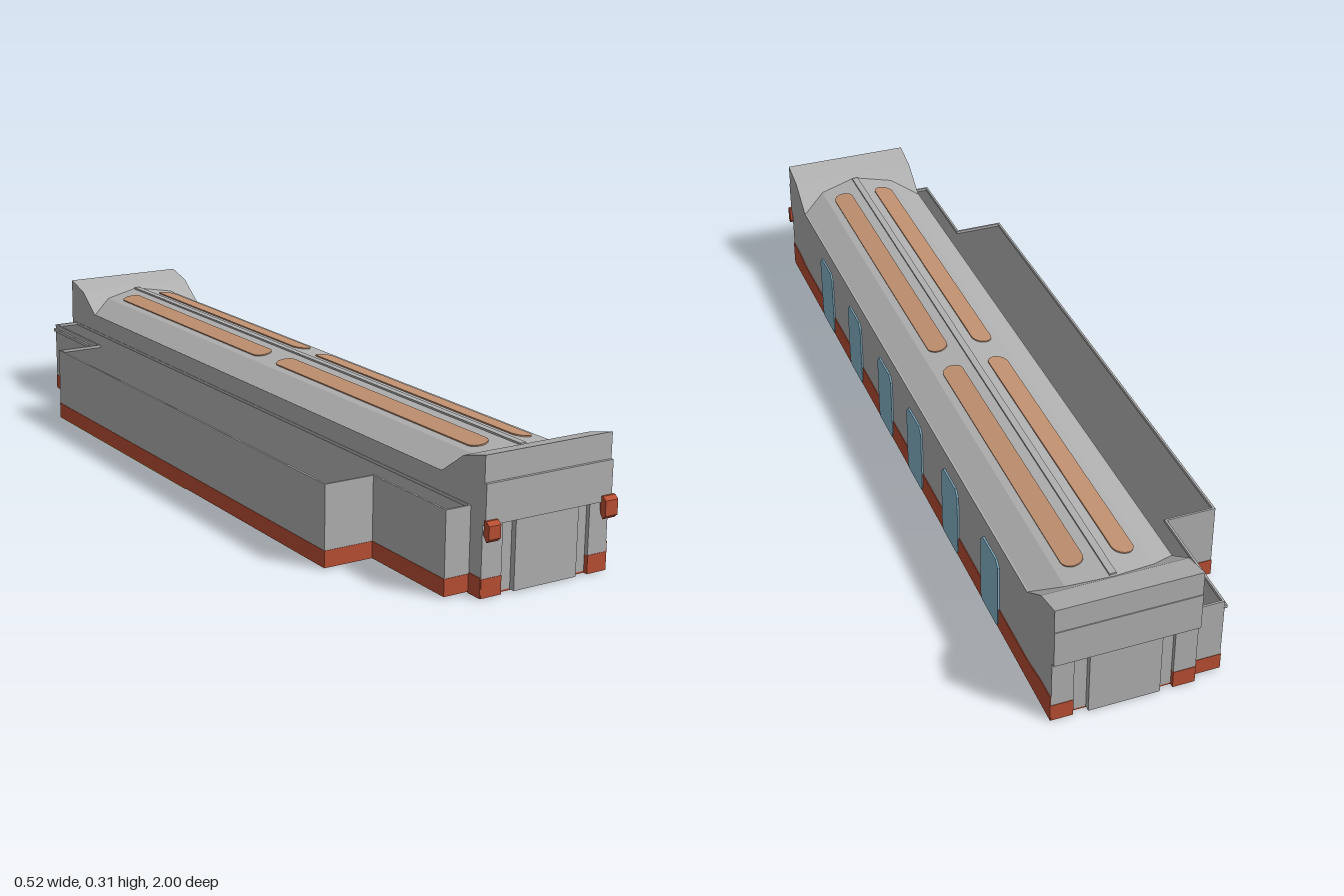
import * as THREE from 'three';

const mat = (name, color) => {
  const m = new THREE.MeshStandardMaterial({ color });
  m.name = name;
  return m;
};

export function createModel() {
  const grey = mat('wall grey', 0xb0b0b0);
  const dark = mat('flat roof grey', 0x666666);
  const red = mat('brick red', 0xb84e33);
  const glass = mat('window blue', 0x85b5cb);
  const tan = mat('skylight tan', 0xc09070);
  const ochre = mat('ochre', 0xc8860a);
  const black = mat('gate dark', 0x3c3c3c);

  const model = new THREE.Group();
  model.name = 'hall';
  const add = (name, geo, m) => {
    const mesh = new THREE.Mesh(geo, m);
    mesh.name = name;
    model.add(mesh);
    return mesh;
  };
  // box given by its limits
  const box = (name, m, x0, x1, y0, y1, z0, z1) => {
    const g = new THREE.BoxGeometry(x1 - x0, y1 - y0, z1 - z0);
    g.translate((x0 + x1) / 2, (y0 + y1) / 2, (z0 + z1) / 2);
    return add(name, g, m);
  };
  const shapeOf = (pts) => new THREE.Shape(pts.map(([a, b]) => new THREE.Vector2(a, b)));
  const extrude = (shape, depth) =>
    new THREE.ExtrudeGeometry(shape, { depth, bevelEnabled: false, curveSegments: 8 });
  // (z, y) outline swept from x0 to x1
  const alongX = (name, m, pts, x0, x1) => {
    const g = extrude(shapeOf(pts), x1 - x0);
    g.rotateY(-Math.PI / 2).translate(x1, 0, 0);
    return add(name, g, m);
  };
  // (x, z) plan raised from y0 to y1, with an optional hole
  const raise = (name, m, pts, y0, y1, hole) => {
    const flip = (p) => p.map(([x, z]) => [x, -z]);
    const s = shapeOf(flip(pts));
    if (hole) s.holes.push(shapeOf(flip(hole)));
    const g = extrude(s, y1 - y0);
    g.rotateX(-Math.PI / 2).translate(0, y0, 0);
    return add(name, g, m);
  };

  const L = -0.075, R = 0.255, mid = 0.09;

  // hall body with the flared end parapets
  alongX('hallBody', grey, [
    [0.965, 0.004], [0.965, 0.16], [0.985, 0.16], [0.985, 0.25], [0.978, 0.25], [0.978, 0.309],
    [0.905, 0.29], [0.83, 0.237], [-0.85, 0.237], [-0.925, 0.29], [-0.998, 0.309],
    [-0.998, 0.25], [-1, 0.25], [-1, 0.16], [-0.98, 0.16], [-0.98, 0.004],
  ], L, R);
  box('hallFloor', red, L, R, 0, 0.004, -0.98, 0.965);

  // main roof, flatter near the ridge and steeper at the eaves
  const roof = extrude(shapeOf([
    [L, 0.235], [R, 0.235], [0.19, 0.268], [mid, 0.284], [-0.01, 0.268],
  ]), 1.84);
  roof.translate(0, 0, -0.93);
  add('mainRoof', roof, grey);
  box('ridgeStrip', grey, 0.082, 0.098, 0.278, 0.287, -0.91, 0.89);

  // long rounded skylights on both slopes
  const tilt = Math.atan2(0.016, 0.1);
  for (const side of [-1, 1]) {
    for (const [z0, z1] of [[-0.85, -0.07], [0.0, 0.83]]) {
      const r = 0.025, h = (z1 - z0) / 2 - r;
      const s = new THREE.Shape();
      s.absarc(0, h, r, 0, Math.PI, false);
      s.absarc(0, -h, r, Math.PI, 2 * Math.PI, false);
      const g = extrude(s, 0.004);
      g.rotateX(-Math.PI / 2);
      const m = add('skylight', g, tan);
      m.rotation.z = -side * tilt;
      m.position.set(mid + side * 0.057, 0.284 - 0.057 * 0.16 - 0.001, (z0 + z1) / 2);
    }
  }

  // end walls: corner piers with red feet, and a central door bay
  for (const [s, base] of [[1, 0.965], [-1, 0.98]]) {
    const slab = (name, m, x0, x1, y0, y1, out) => {
      const a = s * base, b = s * (base + out);
      box(name, m, x0, x1, y0, y1, Math.min(a, b), Math.max(a, b));
    };
    for (const [x0, x1] of [[L, -0.023], [0.205, R]]) {
      slab('cornerPier', grey, x0, x1, 0.042, 0.16, 0.01);
      slab('cornerPierFoot', red, x0, x1, 0, 0.042, 0.011);
    }
    slab('doorBay', grey, 0.008, 0.172, 0.002, 0.16, 0.014);
  }

  // red plinth along the window side, a little taller at the ends
  alongX('windowSidePlinth', red, [
    [-0.99, 0], [0.975, 0], [0.975, 0.065], [0.91, 0.064], [0.85, 0.055],
    [-0.86, 0.055], [-0.93, 0.064], [-0.99, 0.065],
  ], R - 0.002, R + 0.002);
  box('cornerPlinth', red, L - 0.002, L + 0.002, 0, 0.045, 0.935, 0.975);

  // tall windows with clipped corners
  for (const z of [0.62, 0.365, 0.11, -0.12, -0.375, -0.635]) {
    const w = 0.054;
    alongX('window', glass, [
      [z - w + 0.008, 0.003], [z + w - 0.008, 0.003], [z + w, 0.015], [z + w, 0.172],
      [z + w - 0.014, 0.188], [z - w + 0.014, 0.188], [z - w, 0.172], [z - w, 0.015],
    ], R - 0.002, R + 0.004);
  }

  // red lamps on the front corners
  for (const [x0, x1, y0, y1] of [[-0.077, -0.047, 0.127, 0.172], [0.227, 0.26, 0.124, 0.174]]) {
    alongX('cornerLamp', red, [
      [0.982, y0 + 0.012], [0.992, y0], [1, y0 + 0.008], [1, y1 - 0.008], [0.99, y1], [0.982, y1],
    ], x0, x1);
    const c = (x0 + x1) / 2;
    box('lampArm', grey, c - 0.006, c + 0.006, 0.145, 0.16, 0.97, 0.985);
  }

  // side annex: stepped plan, red plinth, rim and sunken dark roof
  const plan = (d) => [
    [L, -0.975 + d], [-0.142 + d, -0.975 + d], [-0.142 + d, -0.69 + d], [-0.26 + d, -0.69 + d],
    [-0.26 + d, 0.67 - d], [-0.138 + d, 0.67 - d], [-0.138 + d, 0.935 - d], [L, 0.935 - d],
  ];
  raise('annexPlinth', red, plan(0), 0.003, 0.042);
  raise('annexWalls', grey, plan(0.001), 0.042, 0.18);
  raise('annexRoof', dark, plan(0.005), 0.18, 0.184);
  const rim = plan(0.001);
  const inner = plan(0.006).map(([x, z], i) => (i === 0 || i === 7 ? [x - 0.001, z] : [x, z]));
  raise('annexRim', grey, rim, 0.18, 0.191, inner);
  box('annexLedge', grey, -0.147, -0.14, 0.172, 0.18, -0.975, -0.69);
  box('annexGate', black, -0.145, -0.139, 0.004, 0.075, -0.9, -0.815);
  box('annexUnderside', ochre, -0.26, -0.12, 0.001, 0.004, -0.69, 0.04);

  return model;
}
